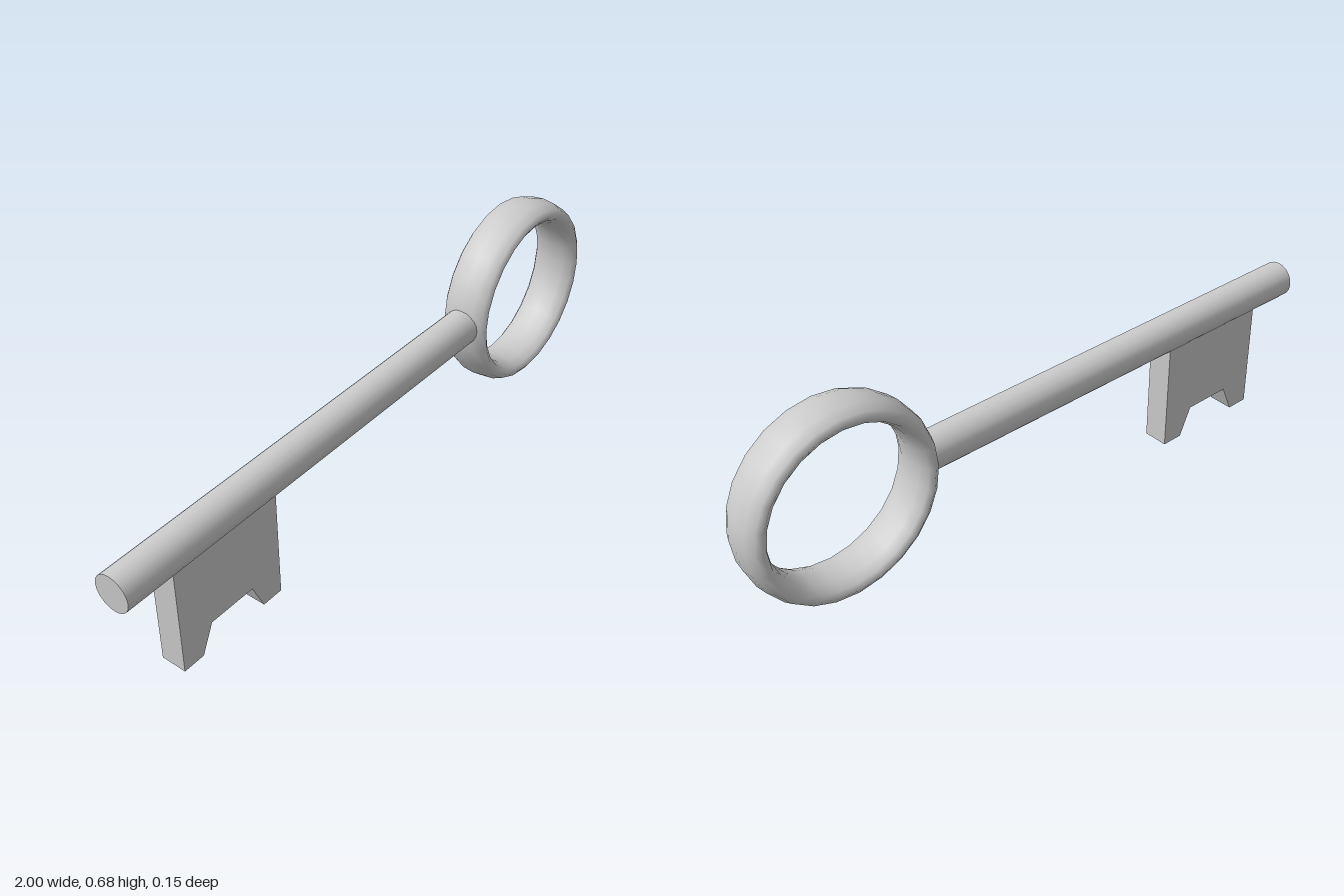
import * as THREE from 'three';

export function createModel() {
  const key = new THREE.Group();
  key.name = 'key';
  const material = new THREE.MeshStandardMaterial({ color: 0xcccccc });

  const add = (name, geometry, x, y, z) => {
    const mesh = new THREE.Mesh(geometry, material);
    mesh.name = name;
    mesh.position.set(x, y, z);
    key.add(mesh);
    return mesh;
  };

  // Ring handle: a torus whose tube is stretched into a wide oval along z
  const tube = 0.0325, halfDepth = 0.076;
  const ring = new THREE.TorusGeometry(0.2605, tube, 12, 24);
  ring.scale(1, 1, halfDepth / tube);
  add('ringHandle', ring, 0.707, 0.387, 0);

  // Round shaft, rising very slightly towards the ring
  const start = new THREE.Vector2(-1, 0.379), end = new THREE.Vector2(0.445, 0.389);
  const along = end.clone().sub(start);
  const shaft = new THREE.CylinderGeometry(0.056, 0.056, along.length(), 20);
  shaft.rotateZ(along.angle() - Math.PI / 2);
  add('shaft', shaft, (start.x + end.x) / 2, (start.y + end.y) / 2, 0);

  // Flat bit with a tapered notch in its lower edge; its top is sunk into the shaft
  const outline = new THREE.Shape([
    [-0.84, 0], [-0.77, 0], [-0.73, 0.09], [-0.575, 0.09],
    [-0.535, 0], [-0.465, 0], [-0.465, 0.375], [-0.84, 0.375],
  ].map(([x, y]) => new THREE.Vector2(x, y)));
  const thickness = 0.08;
  const bit = new THREE.ExtrudeGeometry(outline, { depth: thickness, bevelEnabled: false });
  add('bit', bit, 0, 0, -thickness / 2 - 0.002);

  return key;
}
